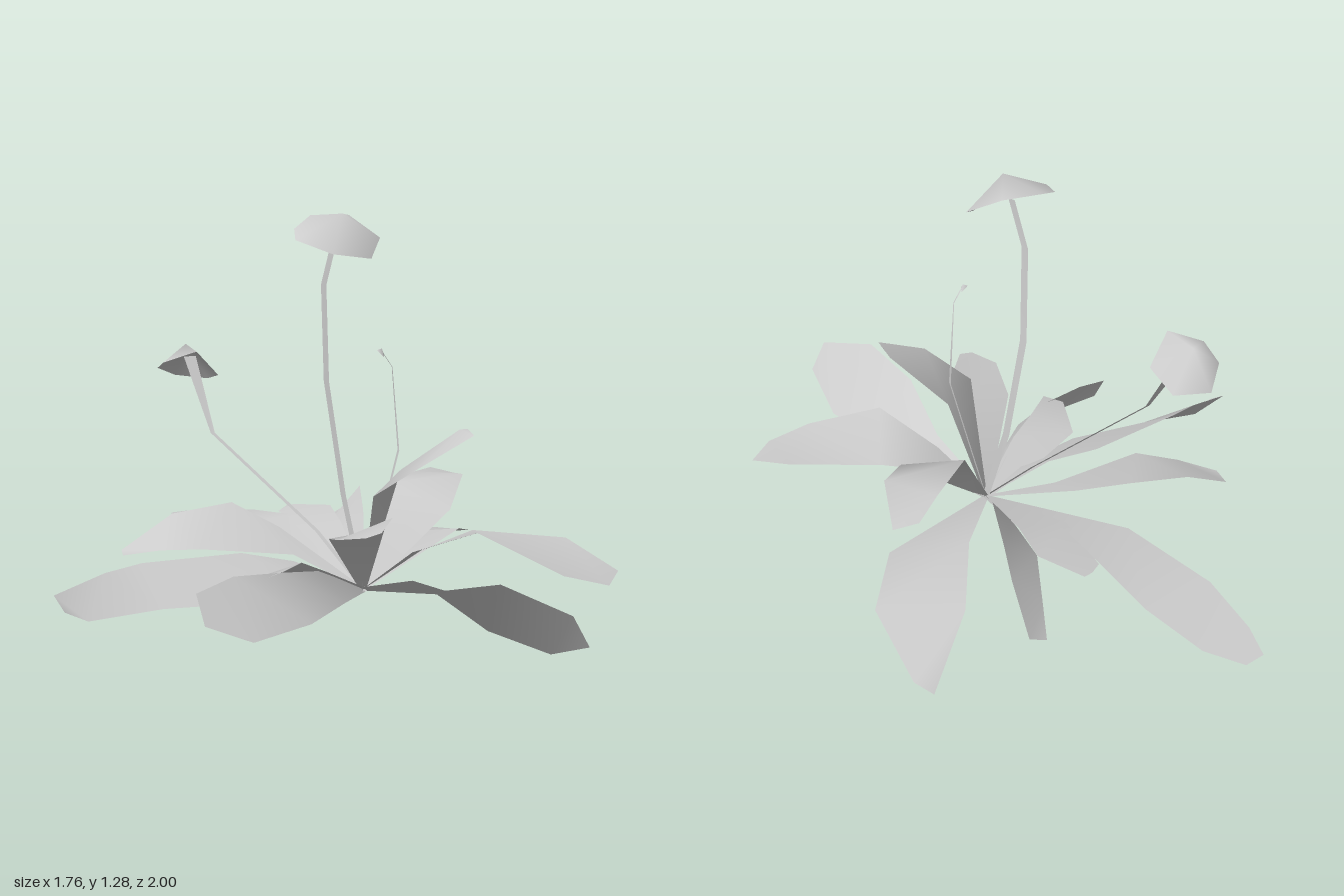
import * as THREE from 'three';

const BASE = [0.13, 0.045, 0.08];

export function createModel() {
  const plant = new THREE.Group();
  plant.name = 'floweringPlant';
  const grey = new THREE.MeshStandardMaterial({ color: 0xcccccc, side: THREE.DoubleSide });
  grey.name = 'paleGrey';

  function surface(name, points, index) {
    const g = new THREE.BufferGeometry();
    g.setAttribute('position', new THREE.Float32BufferAttribute(points.flat(), 3));
    g.setIndex(index);
    g.computeVertexNormals();
    const mesh = new THREE.Mesh(g, grey);
    mesh.name = name;
    plant.add(mesh);
  }

  // Strip skinned between rows of [left point, right point]
  function strip(name, rows) {
    const index = [];
    for (let i = 0; i < rows.length - 1; i++) {
      const a = i * 2;
      index.push(a, a + 1, a + 3, a, a + 3, a + 2);
    }
    surface(name, rows.flat(), index);
  }

  // Leaf growing from the crown; its foot is a narrow copy of the first row
  function leaf(name, ...rows) {
    const [l, r] = rows[0];
    const d = new THREE.Vector3(...r).sub(new THREE.Vector3(...l)).setLength(0.012).toArray();
    strip(name, [[BASE.map((c, i) => c - d[i]), BASE.map((c, i) => c + d[i])], ...rows]);
  }

  // Back leaves
  leaf('longBackLeaf',
    [[-0.2, 0.17, -0.4], [0, 0.19, -0.38]],
    [[-0.36, 0.12, -0.68], [-0.11, 0.13, -0.73]],
    [[-0.4, 0.08, -0.87], [-0.22, 0.08, -0.91]],
    [[-0.39, 0.07, -0.98], [-0.32, 0.07, -1]]);
  leaf('shortBackLeaf',
    [[-0.02, 0.17, -0.3], [0.14, 0.18, -0.28]],
    [[-0.04, 0.17, -0.53], [0.14, 0.2, -0.46]],
    [[0, 0.18, -0.57], [0.03, 0.18, -0.58]]);
  leaf('steepBackLeaf',
    [[0.13, 0.14, -0.2], [0.2, 0.24, -0.2]],
    [[0.12, 0.15, -0.4], [0.25, 0.27, -0.45]],
    [[0.17, 0.12, -0.58], [0.26, 0.21, -0.55]],
    [[0.21, 0.1, -0.72], [0.27, 0.13, -0.73]]);
  leaf('droopingBackLeaf',
    [[0.3, 0.14, -0.25], [0.56, 0.15, -0.22]],
    [[0.4, 0.1, -0.51], [0.66, 0.09, -0.4]],
    [[0.57, 0, -0.72], [0.62, 0.03, -0.68]]);

  // Leaves on the left of the plant
  leaf('raisedLeftLeaf',
    [[0.19, 0.2, -0.01], [0.25, 0.13, 0.07]],
    [[0.26, 0.36, -0.1], [0.44, 0.29, 0.04]],
    [[0.4, 0.36, -0.25], [0.54, 0.37, -0.13]],
    [[0.49, 0.35, -0.35], [0.57, 0.33, -0.33]]);
  leaf('broadLeftLeaf',
    [[0.32, 0.18, 0.12], [0.26, 0.2, 0.21]],
    [[0.49, 0.24, 0.13], [0.42, 0.3, 0.38]],
    [[0.77, 0.23, 0.25], [0.65, 0.19, 0.53]],
    [[0.88, 0.16, 0.42], [0.8, 0.15, 0.53]]);

  // Front leaves
  leaf('uprightFrontLeaf',
    [[0.25, 0.45, 0.1], [0.11, 0.41, 0.28]],
    [[0.41, 0.6, 0.22], [0.25, 0.52, 0.36]],
    [[0.42, 0.61, 0.27], [0.42, 0.6, 0.33]]);
  leaf('longFrontLeaf',
    [[0.3, 0.1, 0.35], [0.22, 0.15, 0.35]],
    [[0.4, 0.04, 0.55], [0.23, 0.21, 0.65]],
    [[0.51, 0.04, 0.78], [0.33, 0.28, 0.84]],
    [[0.54, 0.13, 0.98], [0.48, 0.23, 1]]);
  leaf('shortFrontLeaf',
    [[0.15, 0.3, 0.27], [-0.04, 0.29, 0.31]],
    [[0.14, 0.37, 0.4], [-0.05, 0.33, 0.47]],
    [[0.07, 0.36, 0.53], [0.02, 0.35, 0.54]]);

  // Leaves on the right of the plant
  leaf('smallRightLeaf',
    [[-0.03, 0.16, 0.23], [-0.09, 0.09, 0.14]],
    [[-0.12, 0.21, 0.28], [-0.25, 0.145, 0.2]],
    [[-0.2, 0.21, 0.37], [-0.27, 0.18, 0.35]]);
  leaf('lowRightLeaf',
    [[0.03, 0.06, 0.25], [-0.06, 0.17, 0.25]],
    [[-0.12, 0.06, 0.43], [-0.2, 0.2, 0.34]],
    [[-0.31, 0.04, 0.5], [-0.35, 0.21, 0.38]],
    [[-0.45, 0.09, 0.47], [-0.47, 0.18, 0.43]]);
  leaf('longRightLeaf',
    [[0, 0.07, 0.17], [-0.1, 0.15, 0.06]],
    [[-0.27, 0.08, 0.25], [-0.27, 0.18, 0.03]],
    [[-0.55, 0.08, 0.25], [-0.6, 0.19, 0.11]],
    [[-0.78, 0.06, 0.26], [-0.72, 0.18, 0.16]],
    [[-0.85, 0.1, 0.28], [-0.88, 0.14, 0.23]]);
  leaf('rightBackLeaf',
    [[-0.08, 0.14, -0.05], [-0.1, 0.2, -0.19]],
    [[-0.39, 0.18, -0.04], [-0.25, 0.27, -0.3]],
    [[-0.52, 0.165, -0.11], [-0.46, 0.24, -0.3]],
    [[-0.64, 0.135, -0.18], [-0.64, 0.135, -0.25]]);

  // Flat tapering stems; w is the half width vector at each point
  const stem = (name, w, ...pts) => strip(name, pts.map(([x, y, z, s = 1]) => [
    [x - w[0] * s, y, z - w[1] * s], [x + w[0] * s, y, z + w[1] * s]]));
  stem('tallStem', [0.006, 0.013],
    [...BASE], [0.08, 0.35, 0], [0.03, 0.73, -0.035], [0.015, 1.05, -0.01], [0.04, 1.2, 0.04]);
  stem('sideStem', [0.007, 0],
    [...BASE], [0, 0.22, -0.04], [-0.32, 0.53, -0.25], [-0.38, 0.78, -0.37, 3]);
  stem('budStem', [0.001, 0.007],
    [...BASE], [0.235, 0.52, 0.12], [0.2, 0.8, 0.16, 0.4], [0.165, 0.85, 0.17, 0.3]);

  // Shallow blossoms: a fan from the crown point down to an uneven rim
  function blossom(name, top, ...rim) {
    const n = rim.length;
    surface(name, [top, ...rim], rim.flatMap((_, i) => [0, 1 + (i + 1) % n, 1 + i]));
  }
  blossom('tallBlossom', [0.06, 1.28, 0.06],
    [-0.1, 1.2, 0.1], [-0.08, 1.23, -0.02], [-0.01, 1.27, -0.1], [0.12, 1.27, -0.1],
    [0.2, 1.2, 0], [0.14, 1.14, 0.12], [0, 1.16, 0.19]);
  blossom('sideBlossom', [-0.39, 0.82, -0.4],
    [-0.42, 0.7, -0.48], [-0.31, 0.69, -0.44], [-0.29, 0.72, -0.31],
    [-0.37, 0.81, -0.26], [-0.48, 0.77, -0.3], [-0.49, 0.74, -0.39]);
  blossom('bud', [0.165, 0.86, 0.165],
    [0.15, 0.855, 0.16], [0.175, 0.84, 0.15], [0.165, 0.835, 0.19]);

  return plant;
}
